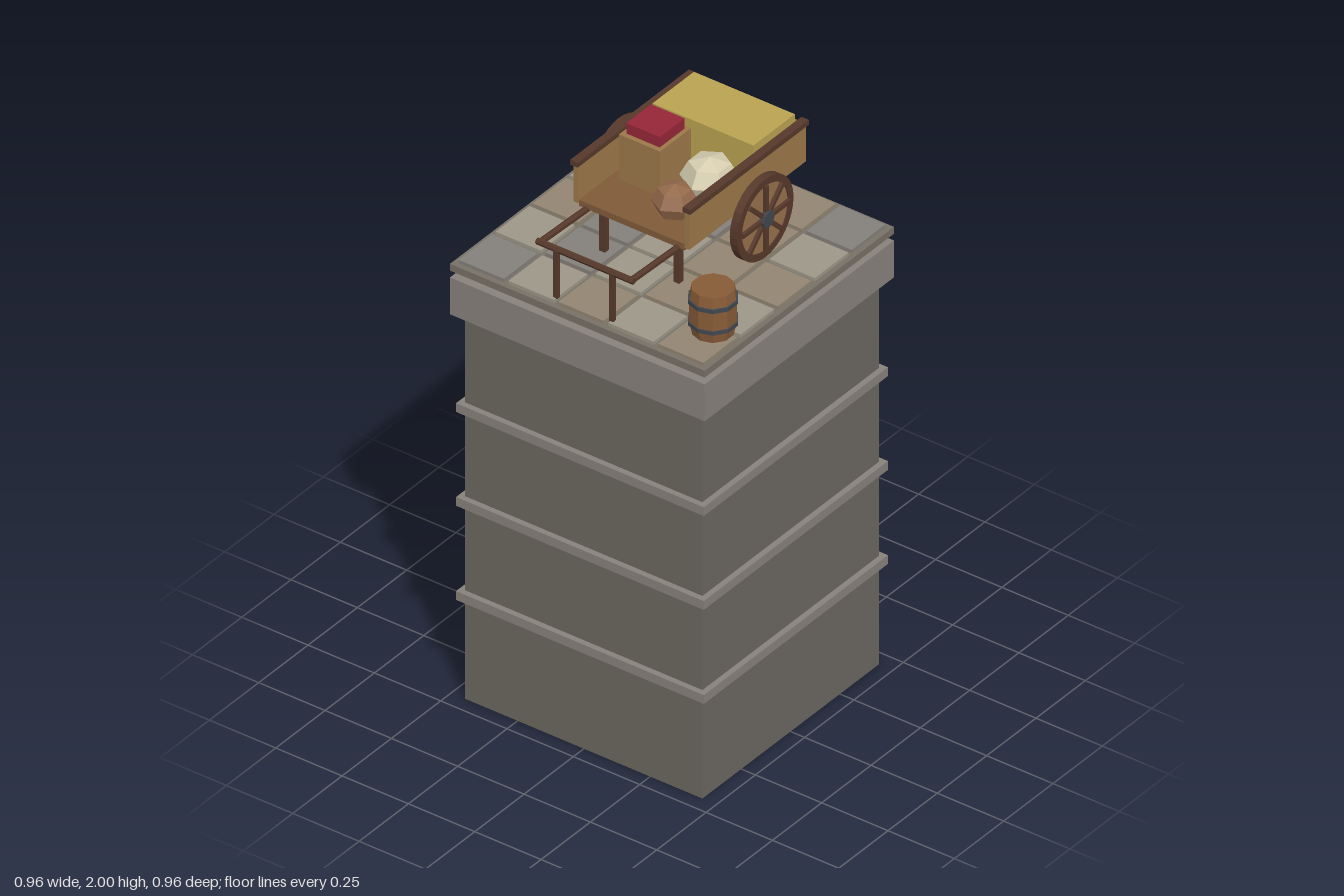
import * as THREE from 'three';

const mat = (color) => new THREE.MeshStandardMaterial({ color, flatShading: true });
const M = {
  stone: mat(0x6b665f), trim: mat(0x87817a), slab: mat(0x787067),
  tiles: [mat(0x9c9787), mat(0x928571), mat(0x837f7a)],
  plank: mat(0x9c7849), floor: mat(0x7f5a38), dark: mat(0x56382a), disc: mat(0x96704a),
  iron: mat(0x41474e), hay: mat(0xb9a252), cloth: mat(0x952638),
  sack: mat(0xd6cdb0), sackBrown: mat(0x94694a), barrel: mat(0x875b37),
};

function add(parent, name, geometry, material, x = 0, y = 0, z = 0) {
  const mesh = new THREE.Mesh(geometry, material);
  mesh.name = name;
  mesh.position.set(x, y, z);
  parent.add(mesh);
  return mesh;
}

// Box given by its extents along each axis
function box(parent, name, material, [x0, x1], [y0, y1], [z0, z1]) {
  return add(parent, name, new THREE.BoxGeometry(x1 - x0, y1 - y0, z1 - z0), material,
    (x0 + x1) / 2, (y0 + y1) / 2, (z0 + z1) / 2);
}

function createTower() {
  const g = new THREE.Group();
  g.name = 'tower';
  const sq = (name, m, h, y0, y1) => box(g, name, m, [-h, h], [y0, y1], [-h, h]);
  sq('shaft', M.stone, 0.447, 0, 1.42);
  [0.382, 0.727, 1.071].forEach((y) => sq('band', M.trim, 0.467, y - 0.016, y + 0.016));
  sq('cap', M.trim, 0.48, 1.415, 1.55);
  // Paving floats a little above the cap
  sq('pavingSlab', M.slab, 0.48, 1.575, 1.6);
  const pattern = ['10012', '00210', '12011', '02010', '20101'];
  pattern.forEach((row, r) => [...row].forEach((c, k) => {
    add(g, 'pavingTile', new THREE.BoxGeometry(0.171, 0.016, 0.171), M.tiles[+c],
      (k - 2) * 0.188, 1.604, (r - 2) * 0.188);
  }));
  return g;
}

// Wheel lies in the xy plane with its outer face towards +z
function createWheel() {
  const g = new THREE.Group();
  g.name = 'wheel';
  const ring = new THREE.Shape().absarc(0, 0, 0.143, 0, Math.PI * 2);
  ring.holes.push(new THREE.Path().absarc(0, 0, 0.118, 0, Math.PI * 2, true));
  add(g, 'rim', new THREE.ExtrudeGeometry(ring, { depth: 0.028, bevelEnabled: false, curveSegments: 16 }),
    M.dark, 0, 0, -0.014);
  add(g, 'wheelDisc', new THREE.CylinderGeometry(0.12, 0.12, 0.02, 16), M.disc).rotation.x = Math.PI / 2;
  for (let i = 0; i < 4; i++) {
    add(g, 'spokePair', new THREE.BoxGeometry(0.24, 0.014, 0.036), M.dark, 0, 0, 0.004)
      .rotation.z = (i * Math.PI) / 4;
  }
  add(g, 'hub', new THREE.CylinderGeometry(0.029, 0.029, 0.056, 8), M.iron).rotation.x = Math.PI / 2;
  return g;
}

function createCart() {
  const g = new THREE.Group();
  g.name = 'cart';
  box(g, 'cartFloor', M.floor, [-0.2, 0.2], [1.775, 1.797], [-0.385, 0.203]);
  box(g, 'backBoard', M.plank, [-0.2, 0.2], [1.785, 1.92], [-0.39, -0.37]);
  for (const s of [-1, 1]) {
    const span = (a, b) => (s > 0 ? [a, b] : [-b, -a]);
    box(g, 'sideBoard', M.plank, span(0.2, 0.218), [1.785, 1.922], [-0.385, 0.205]);
    box(g, 'sideRail', M.dark, span(0.198, 0.226), [1.92, 1.938], [-0.39, 0.212]);
    box(g, 'bedLeg', M.dark, span(0.129, 0.151), [1.61, 1.78], [0.145, 0.167]);
    box(g, 'propLeg', M.dark, span(0.098, 0.113), [1.61, 1.785], [0.435, 0.45]);
    // Pulling shaft, rising slightly forwards
    const shaft = add(g, 'pullShaft', new THREE.CylinderGeometry(0.011, 0.011, 0.4, 6), M.dark,
      s * 0.172, 1.775, 0.24);
    shaft.rotation.x = Math.PI / 2 - 0.035;
    const wheel = createWheel();
    wheel.position.set(s * 0.262, 1.756, -0.102);
    wheel.rotation.y = (s * Math.PI) / 2;
    g.add(wheel);
  }
  add(g, 'pullBar', new THREE.CylinderGeometry(0.011, 0.011, 0.365, 6), M.dark, 0, 1.783, 0.438)
    .rotation.z = Math.PI / 2;
  add(g, 'axle', new THREE.CylinderGeometry(0.014, 0.014, 0.5, 8), M.iron, 0, 1.756, -0.102)
    .rotation.z = Math.PI / 2;
  return g;
}

function createCargo() {
  const g = new THREE.Group();
  g.name = 'cargo';
  box(g, 'hayBale', M.hay, [-0.19, 0.19], [1.797, 1.957], [-0.367, -0.157]);
  box(g, 'crate', M.plank, [-0.168, -0.013], [1.797, 1.962], [-0.113, 0.043]);
  box(g, 'foldedCloth', M.cloth, [-0.153, -0.027], [1.96, 2], [-0.1, 0.026]);
  const sack = (name, m, r, h, x, y, z) => {
    const mesh = add(g, name, new THREE.SphereGeometry(r, 6, 4), m, x, y, z);
    mesh.scale.y = h / r;
    mesh.rotation.y = Math.PI / 2;
  };
  sack('paleSack', M.sack, 0.093, 0.072, 0.103, 1.867, -0.053);
  sack('brownSack', M.sackBrown, 0.074, 0.06, 0.085, 1.857, 0.101);
  return g;
}

function createBarrel() {
  const g = new THREE.Group();
  g.name = 'barrel';
  const profile = [[0, 0], [0.066, 0], [0.076, 0.05], [0.076, 0.115], [0.068, 0.165], [0, 0.165]]
    .map(([r, y]) => new THREE.Vector2(r, y));
  add(g, 'barrelBody', new THREE.LatheGeometry(profile, 10), M.barrel);
  for (const y of [0.043, 0.122]) {
    add(g, 'barrelHoop', new THREE.CylinderGeometry(0.079, 0.079, 0.014, 10), M.iron, 0, y, 0);
  }
  g.position.set(0.383, 1.612, 0.307);
  return g;
}

export function createModel() {
  const model = new THREE.Group();
  model.name = 'cartOnTower';
  model.add(createTower(), createCart(), createCargo(), createBarrel());
  return model;
}
